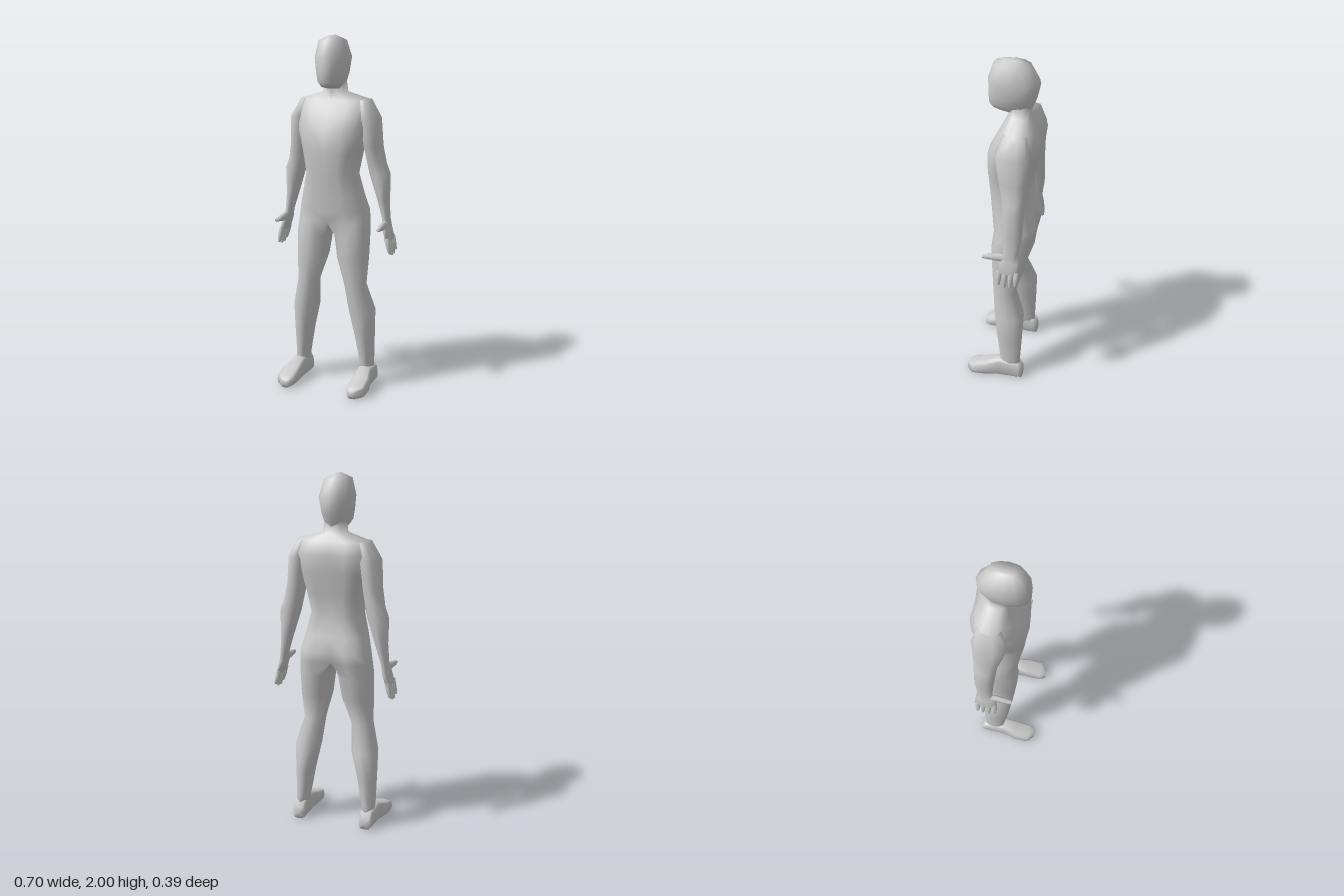
import * as THREE from 'three';
import { mergeVertices, mergeGeometries } from 'three/addons/utils/BufferGeometryUtils.js';

const material = new THREE.MeshStandardMaterial({ color: 0xcccccc });

// Skin a list of closed rings; skip(j, i) leaves a quad open
function loft(rings, { capStart = true, capEnd = true, skip = () => false } = {}) {
  const n = rings[0].length, pos = rings.flat(2), idx = [];
  rings.slice(1).forEach((_, j) => {
    for (let i = 0; i < n; i++) {
      if (skip(j, i)) continue;
      const k = (i + 1) % n, a = j * n + i, b = j * n + k, c = a + n, d = b + n;
      idx.push(a, c, b, b, c, d);
    }
  });
  const cap = (j, flip) => {
    const centre = pos.length / 3;
    for (let c = 0; c < 3; c++) pos.push(rings[j].reduce((s, p) => s + p[c], 0) / n);
    for (let i = 0; i < n; i++) {
      const a = j * n + i, b = j * n + (i + 1) % n;
      idx.push(centre, ...(flip ? [b, a] : [a, b]));
    }
  };
  if (capStart) cap(0, false);
  if (capEnd) cap(rings.length - 1, true);
  const g = new THREE.BufferGeometry();
  g.setAttribute('position', new THREE.Float32BufferAttribute(pos, 3));
  g.setIndex(idx);
  g.computeVertexNormals();
  return g;
}

function mirrored(geometry) {
  const g = geometry.clone().scale(-1, 1, 1), ix = g.index.array;
  for (let i = 0; i < ix.length; i += 3) [ix[i], ix[i + 1]] = [ix[i + 1], ix[i]];
  g.computeVertexNormals();
  return g;
}

const soft = (v, p) => Math.sign(v) * Math.abs(v) ** p;

// Horizontal rounded ring between xIn..xOut and zBack..zFront
const level = (n, shift = 0, p = 0.9) => ([y, xIn, xOut, zF, zB]) =>
  Array.from({ length: n }, (_, i) => {
    const t = (i - shift) / n * Math.PI * 2;
    return [(xIn + xOut) / 2 + (xOut - xIn) / 2 * soft(Math.sin(t), p), y,
      (zF + zB) / 2 + (zF - zB) / 2 * soft(Math.cos(t), p)];
  });

// Half torso ring: nine outer points, then three on the middle plane
function torsoLevel([y, w, zF, zB, groove]) {
  const mid = (zF + zB) / 2, half = (zF - zB) / 2, pts = [];
  for (let i = 0; i <= 8; i++) {
    const t = i / 8 * Math.PI;
    const x = i % 8 ? w * Math.sin(t) ** 0.8 : 0;
    pts.push([x, y, mid + half * soft(Math.cos(t), 0.8) + (i === 8 ? groove : 0)]);
  }
  for (const s of [-0.5, 0, 0.5]) pts.push([0, y, mid + half * s]);
  return pts;
}

// Torso and legs: one half skinned from neck to ankle, mirrored and welded
function bodyGeometry() {
  // y, half width, front z, back z, spine groove
  const torso = [
    [1.75, 0.058, 0.0, -0.125, 0], [1.69, 0.068, -0.005, -0.125, 0],
    [1.65, 0.2, 0.015, -0.165, 0.01], [1.58, 0.215, 0.05, -0.2, 0.015],
    [1.48, 0.2, 0.1, -0.19, 0.02], [1.36, 0.168, 0.103, -0.165, 0.02],
    [1.24, 0.147, 0.093, -0.14, 0.015], [1.12, 0.178, 0.08, -0.155, 0.01],
    [1.03, 0.2, 0.072, -0.19, 0.03], [0.975, 0.208, 0.066, -0.175, 0.03],
  ];
  // y, inner x, outer x, front z, back z
  const leg = [
    [0.89, 0.016, 0.212, 0.068, -0.147], [0.76, 0.035, 0.21, 0.063, -0.127],
    [0.61, 0.082, 0.205, 0.052, -0.08], [0.45, 0.1, 0.245, 0.038, -0.136],
    [0.3, 0.135, 0.241, 0.022, -0.13], [0.13, 0.165, 0.237, 0.0, -0.122],
    [0.05, 0.17, 0.24, 0.0, -0.125],
  ];
  const half = loft([...torso.map(torsoLevel), ...leg.map(level(12, 1))], {
    capStart: false,
    skip: (j, i) => j < torso.length - 1 && i >= 8,
  });
  const body = mergeGeometries([half, mirrored(half)]);
  body.deleteAttribute('normal');
  const welded = mergeVertices(body, 1e-4);
  welded.computeVertexNormals();
  return welded;
}

// Head: chin, jaw, brow, crown
const headGeometry = () => loft([
  [1.998, 0.015, 0.025, -0.06], [1.972, 0.07, 0.078, -0.12], [1.88, 0.09, 0.108, -0.172],
  [1.8, 0.08, 0.106, -0.155], [1.75, 0.068, 0.105, -0.138], [1.725, 0.052, 0.085, -0.125],
  [1.71, 0.05, 0.0, -0.12],
].map(([y, w, zF, zB]) => level(12)([y, -w, w, zF, zB])));

// Arm with palm
const armGeometry = () => loft([
  [1.65, 0.14, 0.205, -0.01, -0.14], [1.55, 0.15, 0.262, 0.025, -0.165],
  [1.4, 0.17, 0.272, 0.0, -0.157], [1.3, 0.187, 0.292, -0.025, -0.152],
  [1.24, 0.2, 0.315, -0.03, -0.15], [1.1, 0.245, 0.312, -0.04, -0.146],
  [0.99, 0.28, 0.318, -0.045, -0.13], [0.94, 0.288, 0.326, -0.022, -0.138],
  [0.875, 0.31, 0.341, -0.014, -0.14],
].map(level(10)));

// Finger hanging from the palm at depth z
const fingerGeometry = (z, tip) => loft([
  [0.89, 0.308, 0.338, z + 0.015, z - 0.015], [0.84, 0.321, 0.347, z + 0.014, z - 0.014],
  [tip, 0.335, 0.351, z + 0.009, z - 0.009],
].map(level(6)));

// Upright rings running forward: z, centre x, half width, bottom y, top y
const forward = (n, p) => ([z, cx, w, y0, y1]) => Array.from({ length: n }, (_, i) => {
  const t = i / n * Math.PI * 2;
  return [cx + w * soft(Math.sin(t), p),
    Math.max(y0, (y0 + y1) / 2 + (y1 - y0) / 2 * soft(Math.cos(t), p)), z];
});

const thumbGeometry = () => loft([
  [-0.08, 0.304, 0.014, 0.93, 0.99], [-0.02, 0.304, 0.018, 0.935, 0.985],
  [0.03, 0.307, 0.016, 0.942, 0.974], [0.067, 0.31, 0.012, 0.946, 0.967],
].map(forward(6, 0.9)));

const footGeometry = () => loft([
  [-0.138, 0.205, 0.034, 0, 0.07], [-0.115, 0.205, 0.04, 0, 0.11],
  [0.0, 0.208, 0.042, 0, 0.125], [0.08, 0.216, 0.054, 0, 0.092],
  [0.16, 0.217, 0.054, 0, 0.065], [0.195, 0.206, 0.026, 0, 0.05],
].map(forward(12, 0.55)));

export function createModel() {
  const group = new THREE.Group();
  const add = (name, geometry) => {
    const mesh = new THREE.Mesh(geometry, material);
    mesh.name = name;
    group.add(mesh);
  };
  const addPair = (name, geometry) => {
    add(`left ${name}`, geometry);
    add(`right ${name}`, mirrored(geometry));
  };

  add('torso and legs', bodyGeometry());
  add('head', headGeometry());
  addPair('arm', armGeometry());
  addPair('thumb', thumbGeometry());
  addPair('foot', footGeometry());
  [[-0.028, 0.803], [-0.061, 0.79], [-0.094, 0.792], [-0.124, 0.808]]
    .forEach(([z, tip], i) => addPair(`finger ${i + 1}`, fingerGeometry(z, tip)));
  return group;
}
